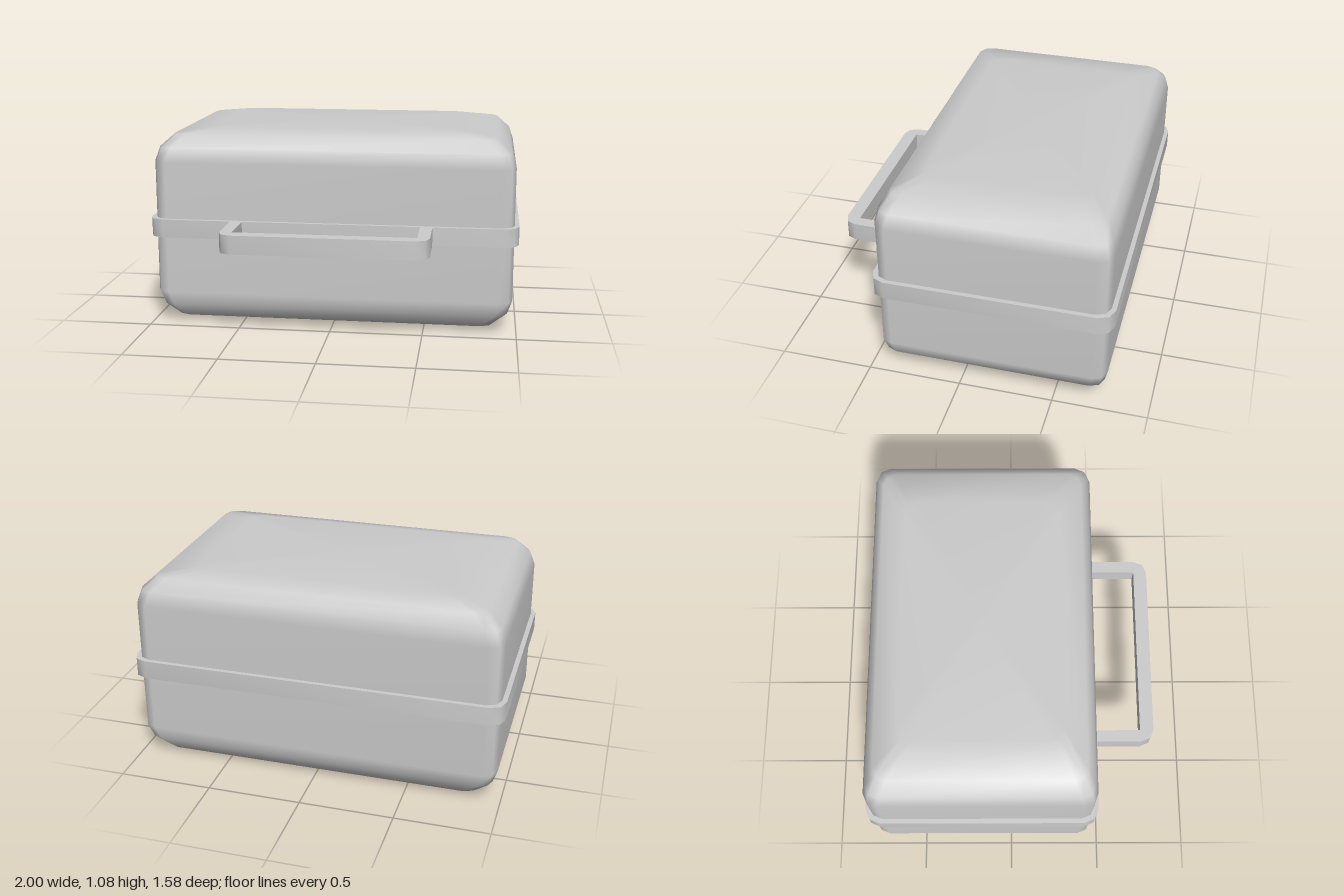
import * as THREE from 'three';
import { toCreasedNormals } from 'three/addons/utils/BufferGeometryUtils.js';

const material = new THREE.MeshStandardMaterial({ color: 0xcccccc });
const CENTRE_Z = -0.16;

// Rounded rectangle in plan (x, z), each corner an arc of a few steps
function outline(hx, hz, r, steps = 2) {
  const points = [];
  for (let corner = 0; corner < 4; corner++) {
    const sx = corner === 0 || corner === 3 ? 1 : -1;
    const sz = corner < 2 ? 1 : -1;
    for (let i = 0; i <= steps; i++) {
      const a = (corner + i / steps) * Math.PI / 2;
      points.push(new THREE.Vector2(
        sx * (hx - r) + r * Math.cos(a),
        CENTRE_Z + sz * (hz - r) + r * Math.sin(a)));
    }
  }
  return points;
}

// Smooth skin over stacked outlines, closed by a fan at both ends
function shell(levels) {
  const pos = [], index = [];
  let n = 0;
  for (const [y, hx, hz, r] of levels) {
    const ring = outline(hx, hz, r);
    n = ring.length;
    for (const p of ring) pos.push(p.x, y, p.y);
  }
  const last = levels.length - 1;
  const bottom = pos.length / 3, top = bottom + 1;
  pos.push(0, levels[0][0], CENTRE_Z, 0, levels[last][0], CENTRE_Z);
  for (let i = 0; i < n; i++) {
    const j = (i + 1) % n;
    for (let k = 0; k < last; k++) {
      const a = k * n + i, b = k * n + j;
      index.push(a, a + n, b, b, a + n, b + n);
    }
    index.push(bottom, i, j, top, last * n + j, last * n + i);
  }
  const g = new THREE.BufferGeometry();
  g.setAttribute('position', new THREE.Float32BufferAttribute(pos, 3));
  g.setIndex(index);
  g.computeVertexNormals();
  return g;
}

// Plan shape given thickness from y = 0.49 to 0.59
function slab(shape) {
  const g = new THREE.ExtrudeGeometry(shape, { depth: 0.1, bevelEnabled: false });
  g.rotateX(Math.PI / 2).translate(0, 0.59, 0);
  return toCreasedNormals(g, 0.85);
}

export function createModel() {
  const group = new THREE.Group();
  const add = (name, geometry) => {
    const mesh = new THREE.Mesh(geometry, material);
    mesh.name = name;
    group.add(mesh);
  };

  // Case body: rounded profile mirrored top to bottom [y, half x, half z, corner]
  const half = [
    [0, 0.68, 0.425, 0.07],
    [0.03, 0.875, 0.55, 0.07],
    [0.1, 0.95, 0.592, 0.07],
    [0.175, 0.975, 0.609, 0.07],
  ];
  const mirrored = half.map(([y, ...rest]) => [1.075 - y, ...rest]).reverse();
  add('caseBody', shell([...half, ...mirrored]));

  // Rim band around the seam
  const rim = new THREE.Shape(outline(1, 0.633, 0.08));
  rim.holes.push(new THREE.Path(outline(0.965, 0.6, 0.06)));
  add('rimBand', slab(rim));

  // Carry handle: a flat U with clipped outer corners
  const side = [[0.48, 0.46], [0.545, 0.46], [0.545, 0.72], [0.525, 0.77], [0.475, 0.79]];
  const points = [
    ...side,
    ...side.map(([x, z]) => [-x, z]).reverse(),
    [-0.48, 0.715], [0.48, 0.715],
  ];
  add('handle', slab(new THREE.Shape(points.map(([x, z]) => new THREE.Vector2(x, z)))));

  return group;
}
